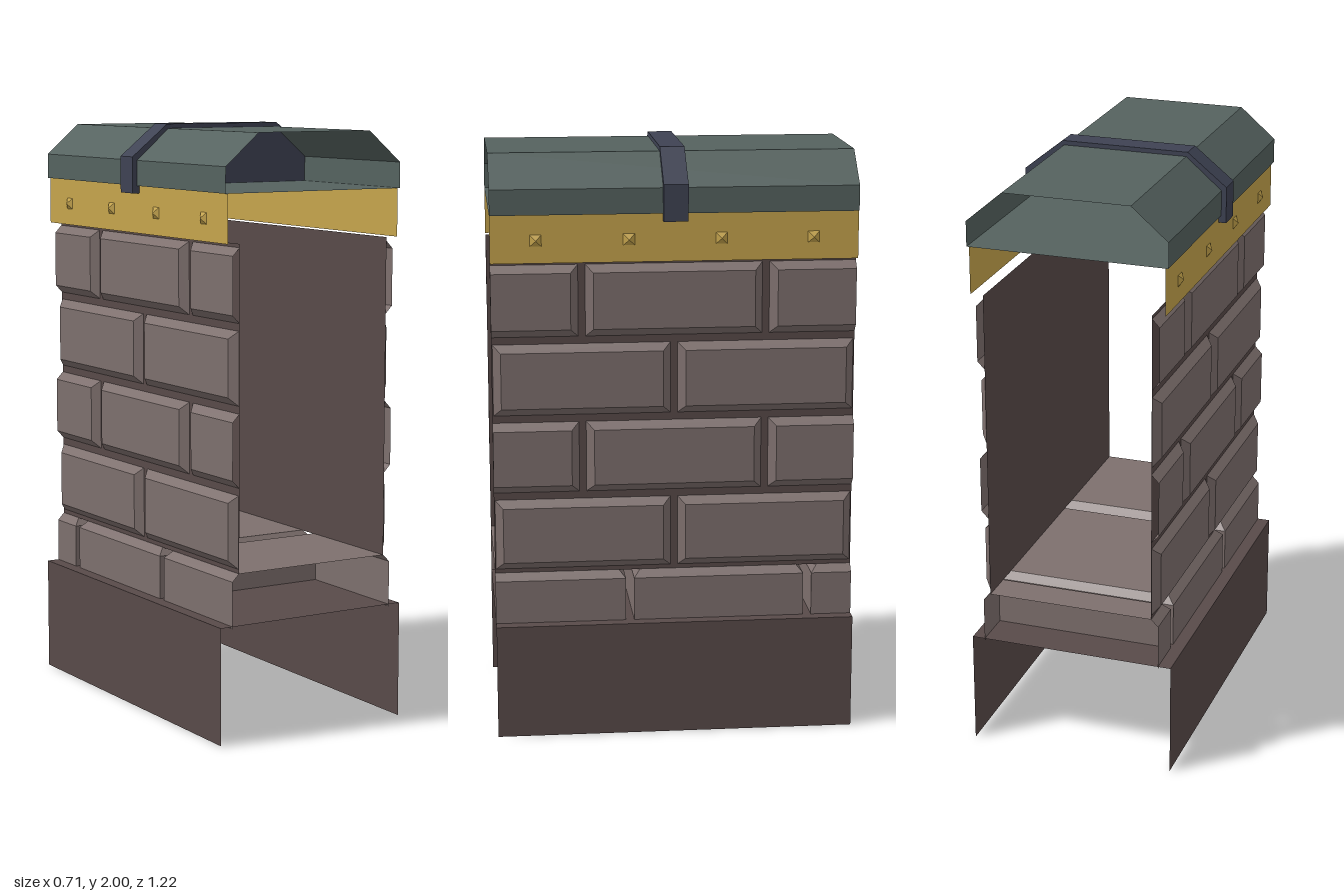
import * as THREE from 'three';

const flat = (name, color) => {
  const m = new THREE.MeshStandardMaterial({ color, side: THREE.DoubleSide, flatShading: true });
  m.name = name;
  return m;
};

const END = 0.61; // half length along z

// Stacked rectangles [y, x0, x1, z0, z1] joined into faces, capped on top, open below.
// Sides are numbered 0: +z, 1: +x, 2: -z, 3: -x; those listed in "open" are left out.
function loft(rings, open = []) {
  const pos = [];
  const corners = rings.map(([y, x0, x1, z0, z1]) =>
    [[x0, y, z1], [x1, y, z1], [x1, y, z0], [x0, y, z0]]);
  const quad = (a, b, c, d) => pos.push(...a, ...b, ...c, ...a, ...c, ...d);
  for (let i = 0; i + 1 < corners.length; i++) {
    for (let k = 0; k < 4; k++) {
      if (open.includes(k)) continue;
      const n = (k + 1) % 4;
      quad(corners[i][k], corners[i][n], corners[i + 1][n], corners[i + 1][k]);
    }
  }
  quad(...corners[corners.length - 1]);
  const g = new THREE.BufferGeometry();
  g.setAttribute('position', new THREE.Float32BufferAttribute(pos, 3));
  g.computeVertexNormals();
  return g;
}

// Symmetrical roof outline
function outline(w, top, y0, y1, y2) {
  return [[w, y0], [w, y1], [top, y2], [-top, y2], [-w, y1], [-w, y0]]
    .map(([x, y]) => new THREE.Vector2(x, y));
}

export function createModel() {
  const brick = flat('brick', 0x7d6f6d);
  const mortar = flat('mortar', 0x584a49);
  const gold = flat('gold', 0xc5a44c);
  const roofGreen = flat('roofGreen', 0x55625f);
  const navy = flat('navy', 0x3e4253);

  const model = new THREE.Group();
  model.name = 'wallSegment';
  const add = (parent, name, geometry, material) => {
    const mesh = new THREE.Mesh(geometry, material);
    mesh.name = name;
    parent.add(mesh);
    return mesh;
  };

  // Upright sheet facing +x
  const sheet = (x, y0, y1) =>
    new THREE.PlaneGeometry(2 * END, y1 - y0).rotateY(Math.PI / 2).translate(x, (y0 + y1) / 2, 0);

  // Bevelled brick on the +x wall, cut open where it meets the end of the segment
  const B = 0.026;
  const wallBrick = (y0, y1, z0, z1, open) => {
    const lo = open.includes(2) ? 0 : B, hi = open.includes(0) ? 0 : B;
    return loft([
      [0.285, -y1, -y0, z0, z1],
      [0.31, -y1 + B, -y0 - B, z0 + lo, z1 - hi],
    ], open).rotateZ(-Math.PI / 2);
  };

  // Both long sides, the second turned half a circle
  for (const [name, turn] of [['leftSide', 0], ['rightSide', Math.PI]]) {
    const side = new THREE.Group();
    side.name = name;
    side.rotation.y = turn;
    model.add(side);
    add(side, 'basePanel', sheet(0.354, 0, 0.393), mortar);
    add(side, 'mortarWall', sheet(0.285, 0.565, 1.635), mortar);
    add(side, 'goldBand', sheet(0.328, 1.635, 1.795), gold);

    // Four staggered brick courses
    for (let row = 0; row < 4; row++) {
      const y0 = 0.58 + row * 0.267, y1 = y0 + 0.242;
      const spans = row % 2 === 0
        ? [[0.012, 0.606, []], [-0.606, -0.012, []]]
        : [[0.32, END, [0]], [-0.296, 0.296, []], [-END, -0.32, [2]]];
      for (const [z0, z1, open] of spans) {
        add(side, 'wallBrick', wallBrick(y0, y1, z0, z1, open), brick);
      }
    }

    // Pyramid studs
    for (const z of [-0.46, -0.153, 0.153, 0.46]) {
      const stud = new THREE.ConeGeometry(0.027, 0.014, 4, 1, true)
        .rotateY(Math.PI / 4).rotateZ(-Math.PI / 2).translate(0.335, 1.71, z);
      add(side, 'stud', stud, gold);
    }
  }

  // Ledge and the wide foundation blocks standing on it
  add(model, 'ledge',
    new THREE.PlaneGeometry(0.708, 2 * END).rotateX(-Math.PI / 2).translate(0, 0.393, 0), mortar);
  for (const [z0, z1, open] of [[0.166, END, [0]], [-0.444, 0.138, []], [-END, -0.472, [2]]]) {
    const lo = open.includes(2) ? 0 : 0.022, hi = open.includes(0) ? 0 : 0.022;
    add(model, 'foundationBlock', loft([
      [0.385, -0.31, 0.31, z0, z1],
      [0.541, -0.31, 0.31, z0, z1],
      [0.566, -0.286, 0.286, z0 + lo, z1 - hi],
    ], open), brick);
  }

  // Roof: hollow tube of flat sheets, open at both ends
  const pts = outline(0.337, 0.214, 1.795, 1.88, 1.985);
  const roof = new THREE.Group();
  roof.name = 'roof';
  model.add(roof);
  pts.forEach((a, i) => {
    const b = pts[(i + 1) % pts.length];
    const g = new THREE.PlaneGeometry(a.distanceTo(b), 2 * END)
      .rotateX(-Math.PI / 2)
      .rotateZ(Math.atan2(a.y - b.y, a.x - b.x))
      .translate((a.x + b.x) / 2, (a.y + b.y) / 2, 0);
    add(roof, i === 5 ? 'roofFloor' : 'roofSheet', g, roofGreen);
  });

  // Strap across the roof
  const strap = new THREE.ExtrudeGeometry(
    new THREE.Shape(outline(0.354, 0.219, 1.77, 1.892, 2.0)),
    { depth: 0.082, bevelEnabled: false }).translate(0, 0, -0.041);
  add(model, 'roofStrap', strap, navy);

  return model;
}
